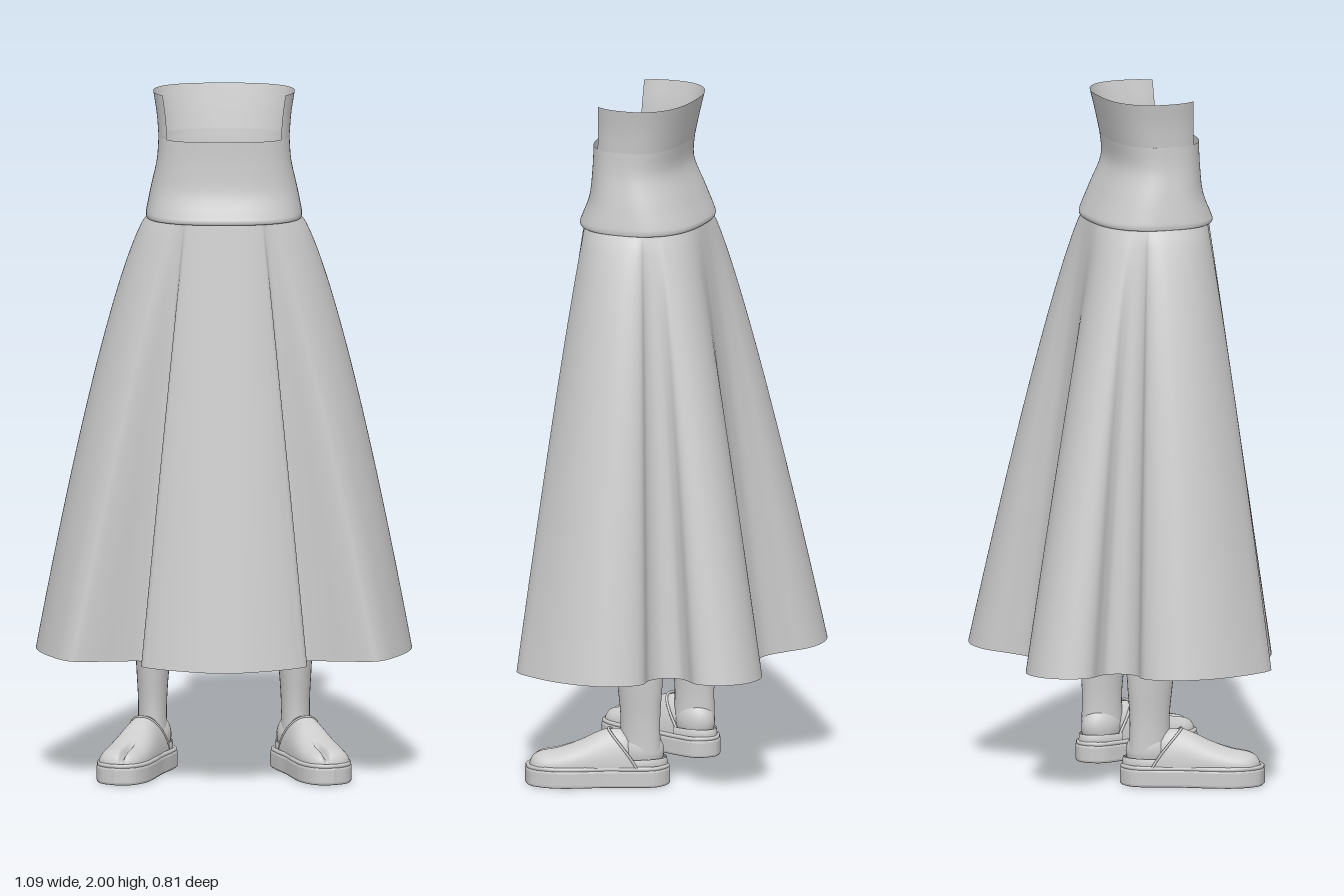
import * as THREE from 'three';

const grey = new THREE.MeshStandardMaterial({ color: 0xcccccc, side: THREE.DoubleSide });
grey.name = 'plain grey';

function addMesh(parent, name, geometry) {
  const mesh = new THREE.Mesh(geometry, grey);
  mesh.name = name;
  parent.add(mesh);
  return mesh;
}

// Smooth skin over rows of points (rows run downwards, columns turn from front to left)
function loft(rows, closed) {
  const n = rows[0].length, pos = [], index = [];
  rows.forEach(row => row.forEach(p => pos.push(p.x, p.y, p.z)));
  for (let r = 0; r < rows.length - 1; r++) {
    for (let c = 0; c < (closed ? n : n - 1); c++) {
      const d = (c + 1) % n;
      const a = r * n + c, b = r * n + d, e = a + n, f = b + n;
      index.push(a, e, f, a, f, b);
    }
  }
  const g = new THREE.BufferGeometry();
  g.setAttribute('position', new THREE.Float32BufferAttribute(pos, 3));
  g.setIndex(index);
  g.computeVertexNormals();
  return g;
}

// Point on a rounded oval; angle 0 is the front, 90 degrees is +x
function oval(deg, y, a, front, back, n = 2.5) {
  const t = THREE.MathUtils.degToRad(deg);
  const pow = v => Math.sign(v) * Math.abs(v) ** (2 / n);
  return new THREE.Vector3(a * pow(Math.sin(t)), y,
    (front + back) / 2 + (front - back) / 2 * pow(Math.cos(t)));
}

function ovalRow(y, a, front, back, from, to, count, n) {
  const row = [];
  for (let i = 0; i < count; i++) row.push(oval(from + (to - from) * i / count, y, a, front, back, n));
  return row;
}

// Pleated skirt: half hem outline as [x, z, angle at the waist]
const HEM = [
  [0, .40, 0], [.08, .394, 9], [.16, .372, 18], [.215, .345, 24], [.24, .318, 27],
  [.238, .285, 28], [.225, .245, 29], [.235, .222, 31], [.29, .232, 33], [.37, .258, 36],
  [.43, .272, 40], [.462, .258, 46], [.50, .20, 59], [.535, .11, 75], [.545, .02, 90],
  [.53, -.05, 99], [.49, -.11, 105], [.45, -.13, 108], [.40, -.125, 110], [.355, -.145, 113],
  [.335, -.19, 117], [.35, -.225, 122], [.38, -.26, 127], [.385, -.30, 133], [.365, -.35, 139],
  [.32, -.39, 146], [.25, -.407, 154], [.18, -.39, 162], [.12, -.345, 169], [.06, -.305, 175],
  [0, -.295, 180]
];

function skirtGeometry() {
  const left = HEM.map(([x, z, deg]) => new THREE.Vector3(x, deg, z));
  const right = left.slice(1).reverse().map(p => new THREE.Vector3(-p.x, -p.y, p.z));
  const hem = new THREE.CatmullRomCurve3([...right, ...left]).getPoints(360);
  hem.pop();
  const rows = [], steps = 40;
  for (let i = 0; i <= steps; i++) {
    const t = i / steps;
    rows.push(hem.map(h => {
      const w = oval(h.y, 1.64, .215, .21, -.13, 2.3);
      const c = Math.cos(THREE.MathUtils.degToRad(h.y));
      const k = t ** (.72 + (c > 0 ? .28 : .16) * c * c);
      const low = .345 + .035 * Math.abs(h.x);
      return new THREE.Vector3(w.x + (h.x - w.x) * k, 1.645 + (low - 1.645) * t, w.z + (h.z - w.z) * k);
    }));
  }
  return loft(rows, true);
}

// Interpolates table rows smoothly, keyed on their first column
function smoothTable(table, count) {
  const out = [];
  for (let i = 0; i <= count; i++) {
    const u = i / count * (table.length - 1), k = Math.min(Math.floor(u), table.length - 2), f = u - k;
    const at = (j, c) => table[Math.max(0, Math.min(table.length - 1, j))][c];
    out.push(table[0].map((_, c) => {
      const p0 = at(k - 1, c), p1 = at(k, c), p2 = at(k + 1, c), p3 = at(k + 2, c);
      return p1 + .5 * f * (p2 - p0 + f * (2 * p0 - 5 * p1 + 4 * p2 - p3 + f * (3 * (p1 - p2) + p3 - p0)));
    }));
  }
  return out;
}

// Shoe with a split toe, and the bare heel above it, pointing along +z
function makeFoot() {
  const foot = new THREE.Group();
  foot.name = 'foot';

  // Sole
  const outline = [[0, .2], [.045, .185], [.073, .13], [.074, .06], [.06, -.03], [.058, -.11],
    [.048, -.175], [0, -.205], [-.048, -.175], [-.058, -.11], [-.058, -.03], [-.066, .06], [-.066, .13], [-.045, .182]];
  const shape = new THREE.Shape(new THREE.SplineCurve([...outline, outline[0]].map(p => new THREE.Vector2(...p))).getPoints(72));
  const sole = new THREE.ExtrudeGeometry(shape, {
    depth: .037, bevelEnabled: true, bevelThickness: .008, bevelSize: .008, bevelSegments: 3
  });
  sole.rotateX(Math.PI / 2).translate(0, .045, 0);
  addMesh(foot, 'sole', sole);

  // Welt around the top of the sole
  const welt = new THREE.CatmullRomCurve3(outline.map(([x, z]) => new THREE.Vector3(x, .055, z)), true);
  addMesh(foot, 'welt', new THREE.TubeGeometry(welt, 72, .007, 6, true));

  // Upper: domes along the foot as [z, half width, height, backward lean]
  const sections = smoothTable([[.195, .015, .008, 0], [.185, .042, .03, 0], [.16, .062, .045, 0], [.11, .07, .055, 0],
    [.05, .068, .075, .01], [0, .062, .1, .04], [-.035, .057, .113, .085]], 36);
  const rim = [];
  const rows = sections.map(([z, w, h, lean], r) => {
    const row = [];
    for (let i = 0; i <= 60; i++) {
      const a = Math.PI * (1 - i / 60), s = Math.sin(a);
      const x = w * Math.sign(Math.cos(a)) * Math.abs(Math.cos(a)) ** .85;
      const ramp = THREE.MathUtils.smoothstep(z, .06, .15);
      const groove = .45 * ramp * Math.exp(-(((x + .018) / .007) ** 2));
      row.push(new THREE.Vector3(x + .003, .052 + h * s ** .8 * (1 - groove), z - lean * (1 - s) - .012 * groove));
    }
    if (r === sections.length - 1) rim.push(...row);
    return row;
  });
  addMesh(foot, 'shoeUpper', loft(rows.reverse(), false));
  addMesh(foot, 'shoeRim', new THREE.TubeGeometry(new THREE.CatmullRomCurve3(rim), 60, .004, 6));

  // Low band behind the heel
  const band = [[.078, .053, .2], [.082, .057, .204], [.065, .059, .206], [.048, .058, .205]].map(([y, a, back]) => {
    const row = [];
    for (let i = 0; i <= 32; i++) {
      const t = Math.PI * i / 32;
      row.push(new THREE.Vector3(a * Math.cos(t), y, -.1 - (back - .1) * Math.sin(t)));
    }
    return row;
  });
  addMesh(foot, 'heelBand', loft(band, false));

  // Heel and instep
  const heel = addMesh(foot, 'heel', new THREE.SphereGeometry(1, 28, 20));
  heel.scale.set(.049, .065, .066);
  heel.position.set(0, .098, -.13);
  const instep = addMesh(foot, 'instep', new THREE.SphereGeometry(1, 28, 20));
  instep.scale.set(.047, .075, .085);
  instep.position.set(0, .088, -.055);

  foot.position.set(.248, 0, .1);
  foot.rotation.y = THREE.MathUtils.degToRad(20);
  return foot;
}

// Leg as rings of [y, centre x, centre z, radius x, radius z]
function legGeometry() {
  const rings = smoothTable([[1.68, .1, .04, .09, .11], [1.4, .12, .035, .095, .11], [1.1, .15, .025, .082, .095],
    [.85, .175, .01, .066, .078], [.6, .195, -.01, .064, .082], [.35, .205, -.017, .051, .072],
    [.2, .207, -.02, .042, .06], [.1, .207, -.02, .043, .062]], 48);
  return loft(rings.map(([y, cx, cz, rx, rz]) =>
    ovalRow(y, rx, cz + rz, cz - rz, 0, 360, 28, 2).map(p => p.setX(p.x + cx))), true);
}

export function createModel() {
  const model = new THREE.Group();
  model.name = 'skirtedFigure';

  addMesh(model, 'skirt', skirtGeometry());

  // Waistband with a rolled lower edge, as [y, half width, front z, back z]
  const lower = smoothTable([[1.87, .19, .18, -.076], [1.8, .195, .182, -.072], [1.72, .212, .19, -.105],
    [1.66, .224, .213, -.132], [1.642, .226, .22, -.138], [1.632, .223, .216, -.134], [1.64, .212, .205, -.125]], 36);
  addMesh(model, 'waistband', loft(lower.map(([y, a, f, b]) => ovalRow(y, a, f, b, 0, 360, 96)), true));

  // Raised sides and back, open at the front
  const upper = smoothTable([[2, .205, .18, -.105], [1.935, .195, .18, -.09], [1.87, .19, .18, -.076]], 12);
  addMesh(model, 'raisedBack', loft(upper.map(([y, a, f, b]) => {
    const row = ovalRow(y, a, f, b, 57, 303, 80);
    row.push(oval(303, y, a, f, b));
    return row;
  }), false));

  // Inner floor closing the waist
  const floor = [[1.735, .001, .051, .049], [1.73, .08, .1, -.01], [1.715, .15, .15, -.06], [1.70, .214, .192, -.112]];
  addMesh(model, 'innerFloor', loft(floor.map(([y, a, f, b]) => ovalRow(y, a, f, b, 0, 360, 64)), true));

  // Legs and shoes, mirrored
  for (const side of [1, -1]) {
    const limb = new THREE.Group();
    limb.name = side > 0 ? 'leftLeg' : 'rightLeg';
    addMesh(limb, 'leg', legGeometry());
    limb.add(makeFoot());
    limb.scale.x = side;
    model.add(limb);
  }
  return model;
}
